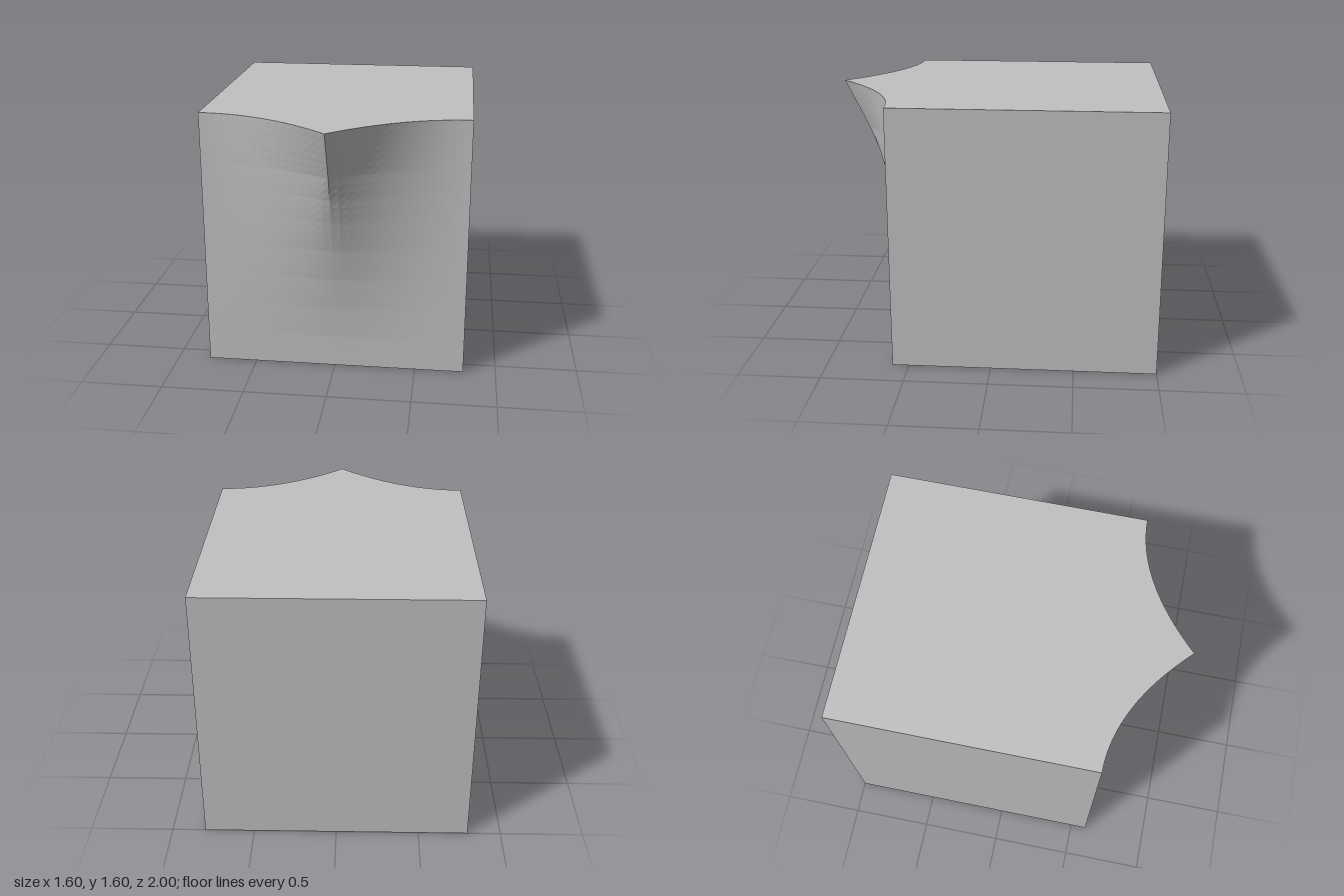
import * as THREE from 'three';

const WIDTH = 1.6, HEIGHT = 1.6, DEPTH = 1.6;

// Ridge profile along the centre line: (height, bulge beyond the flat front)
const ridge = [
  [0, 0], [0.2, 0.005], [0.4, 0.022], [0.6, 0.05], [0.8, 0.09], [1, 0.144],
  [1.15, 0.192], [1.3, 0.253], [1.36, 0.281], [1.6, 0.4],
];

function ridgeHeight(y) {
  const i = Math.max(1, ridge.findIndex(([h]) => h >= y - 1e-6));
  const [y0, a] = ridge[i - 1], [y1, b] = ridge[i];
  return THREE.MathUtils.mapLinear(y, y0, y1, a, b);
}

// Sharp parabolic crest at the top that softens into a rounded swell below
function bulge(x, y) {
  const s = Math.abs(x) / (WIDTH / 2);
  const soft = 0.25 * THREE.MathUtils.clamp((1.3 - y) / 0.9, 0, 1);
  const edge = Math.hypot(1, soft);
  const fall = (edge - Math.hypot(s, soft)) / (edge - soft);
  return ridgeHeight(y) * fall * fall;
}

export function createModel() {
  const group = new THREE.Group();
  group.name = 'creasedBlock';

  const stone = new THREE.MeshStandardMaterial({ color: 0xc0c0c0, flatShading: true });
  stone.name = 'plain grey';

  // Block standing on the ground, with its front face pushed out into the ridge
  const geometry = new THREE.BoxGeometry(WIDTH, HEIGHT, DEPTH, 32, 32, 1);
  geometry.translate(0, HEIGHT / 2, -0.2);
  const pos = geometry.attributes.position;
  for (let i = 0; i < pos.count; i++) {
    if (pos.getZ(i) > 0.5) {
      const y = THREE.MathUtils.clamp(pos.getY(i), 0, HEIGHT);
      pos.setZ(i, 0.6 + bulge(pos.getX(i), y));
    }
  }
  geometry.computeVertexNormals();

  const block = new THREE.Mesh(geometry, stone);
  block.name = 'block';
  group.add(block);
  return group;
}
